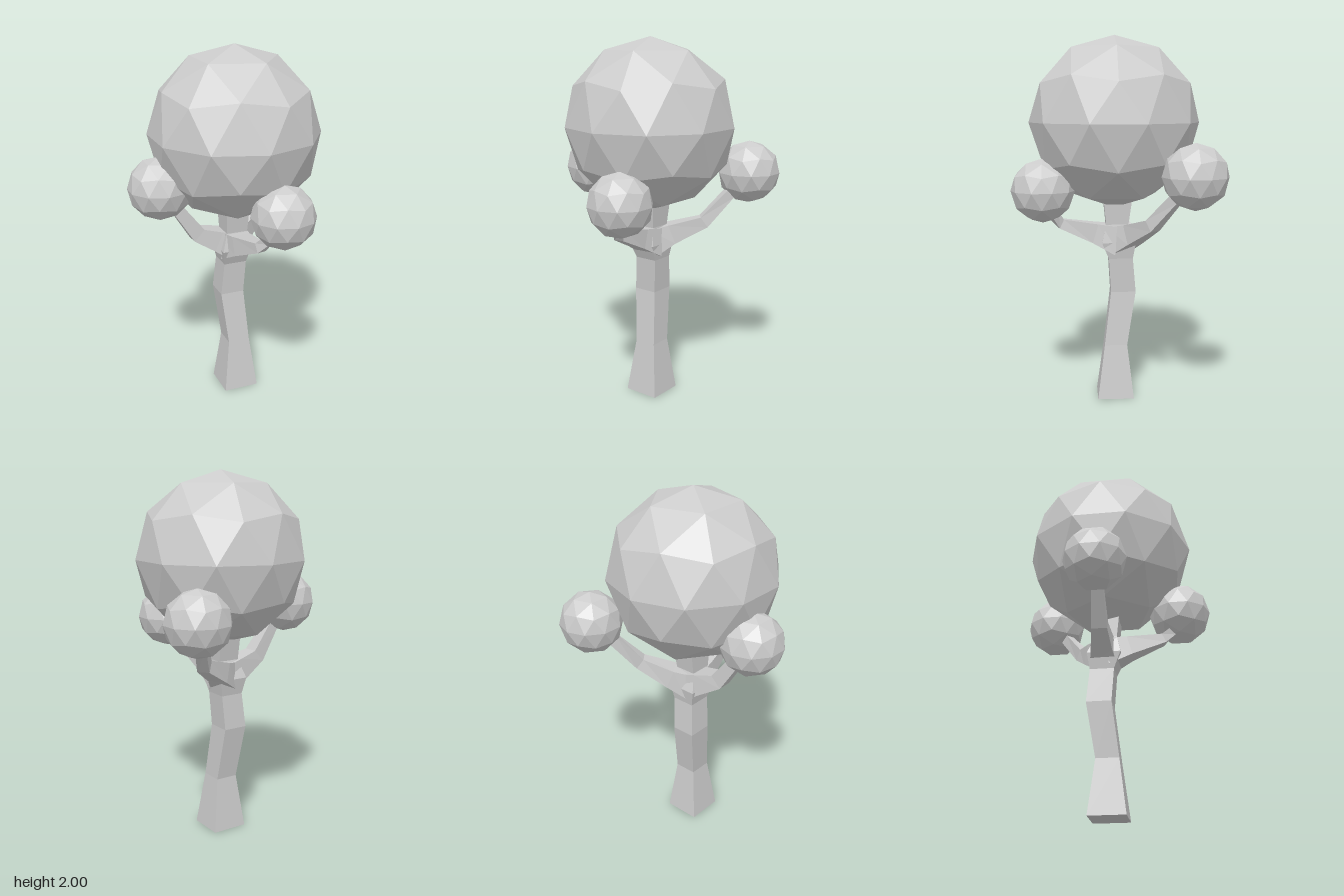
import * as THREE from 'three';

const bark = new THREE.MeshStandardMaterial({ color: 0xcccccc, flatShading: true });
const leaf = new THREE.MeshStandardMaterial({ color: 0xcccccc, flatShading: true });

// Four corners around a centre, counter-clockwise about n x s
function squareRing(center, n, s, hn, hs) {
  return [[1, 1], [-1, 1], [-1, -1], [1, -1]].map(([a, b]) =>
    center.clone().addScaledVector(n, a * hn).addScaledVector(s, b * hs));
}

// Skin a list of square rings and cap both ends
function loft(rings) {
  const pos = rings.flat().flatMap((p) => p.toArray());
  const index = [];
  const quad = (a, b, c, d) => index.push(a, b, c, a, c, d);
  for (let k = 0; k < rings.length - 1; k++) {
    for (let i = 0; i < 4; i++) {
      const j = (i + 1) % 4, o = k * 4;
      quad(o + i, o + j, o + 4 + j, o + 4 + i);
    }
  }
  const e = (rings.length - 1) * 4;
  quad(3, 2, 1, 0);
  quad(e, e + 1, e + 2, e + 3);
  const indexed = new THREE.BufferGeometry();
  indexed.setAttribute('position', new THREE.Float32BufferAttribute(pos, 3));
  indexed.setIndex(index);
  const geo = indexed.toNonIndexed();
  geo.computeVertexNormals();
  return geo;
}

// Tapering square branch through points [x, y, z, half thickness]
function branchGeometry(points) {
  const centers = points.map((p) => new THREE.Vector3(p[0], p[1], p[2]));
  const up = new THREE.Vector3(0, 1, 0);
  return loft(centers.map((c, i) => {
    const prev = centers[Math.max(i - 1, 0)];
    const next = centers[Math.min(i + 1, centers.length - 1)];
    const t = next.clone().sub(prev).normalize();
    const s = t.clone().cross(up).normalize();
    const n = s.clone().cross(t);
    return squareRing(c, n, s, points[i][3], points[i][3]);
  }));
}

// Faceted ball standing on one of its vertices
function ballGeometry(radius) {
  const t = (1 + Math.sqrt(5)) / 2;
  return new THREE.IcosahedronGeometry(radius, 1).rotateZ(-Math.atan(1 / t));
}

export function createModel() {
  const group = new THREE.Group();
  const add = (name, geometry, material) => {
    const mesh = new THREE.Mesh(geometry, material);
    mesh.name = name;
    group.add(mesh);
    return mesh;
  };

  // Crooked trunk: [y, xMin, xMax, zMin, zMax], running up into the crown
  const sections = [
    [0, -0.08, 0.12, -0.105, 0.095],
    [0.3, -0.043, 0.082, -0.069, 0.056],
    [0.6, -0.075, 0.06, -0.117, 0.02],
    [0.79, -0.06, 0.07, -0.1, 0.032],
    [0.88, -0.08, 0.085, -0.115, 0.07],
    [0.98, -0.05, 0.07, -0.075, 0.047],
    [1.16, -0.055, 0.08, -0.1, 0.065],
  ];
  const zAxis = new THREE.Vector3(0, 0, 1), xAxis = new THREE.Vector3(1, 0, 0);
  add('trunk', loft(sections.map(([y, x0, x1, z0, z1]) => squareRing(
    new THREE.Vector3((x0 + x1) / 2, y, (z0 + z1) / 2), zAxis, xAxis, (z1 - z0) / 2, (x1 - x0) / 2))), bark);

  // Three bent branches
  add('rightBranch', branchGeometry([
    [0, 0.89, -0.03, 0.075], [-0.09, 0.93, -0.03, 0.058],
    [-0.2, 0.98, -0.025, 0.042], [-0.32, 1.15, -0.02, 0.031], [-0.38, 1.24, -0.02, 0.028],
  ]), bark);
  add('backBranch', branchGeometry([
    [0.01, 0.89, -0.03, 0.075], [0.09, 0.93, -0.1, 0.055],
    [0.24, 1.0, -0.19, 0.034], [0.33, 1.15, -0.3, 0.028], [0.38, 1.24, -0.36, 0.025],
  ]), bark);
  add('frontBranch', branchGeometry([
    [0.01, 0.89, -0.02, 0.08], [0.015, 0.93, 0.11, 0.054],
    [0.04, 0.985, 0.295, 0.027], [0.07, 1.04, 0.335, 0.025],
  ]), bark);

  // Foliage balls: [name, x, y, z, radius]
  for (const [name, x, y, z, r] of [
    ['crownFoliage', 0.012, 1.535, 0, 0.465],
    ['rightFoliage', -0.403, 1.27, -0.024, 0.172],
    ['backFoliage', 0.4, 1.27, -0.388, 0.172],
    ['frontFoliage', 0.125, 1.176, 0.388, 0.172],
  ]) {
    add(name, ballGeometry(r), leaf).position.set(x, y, z);
  }
  return group;
}
